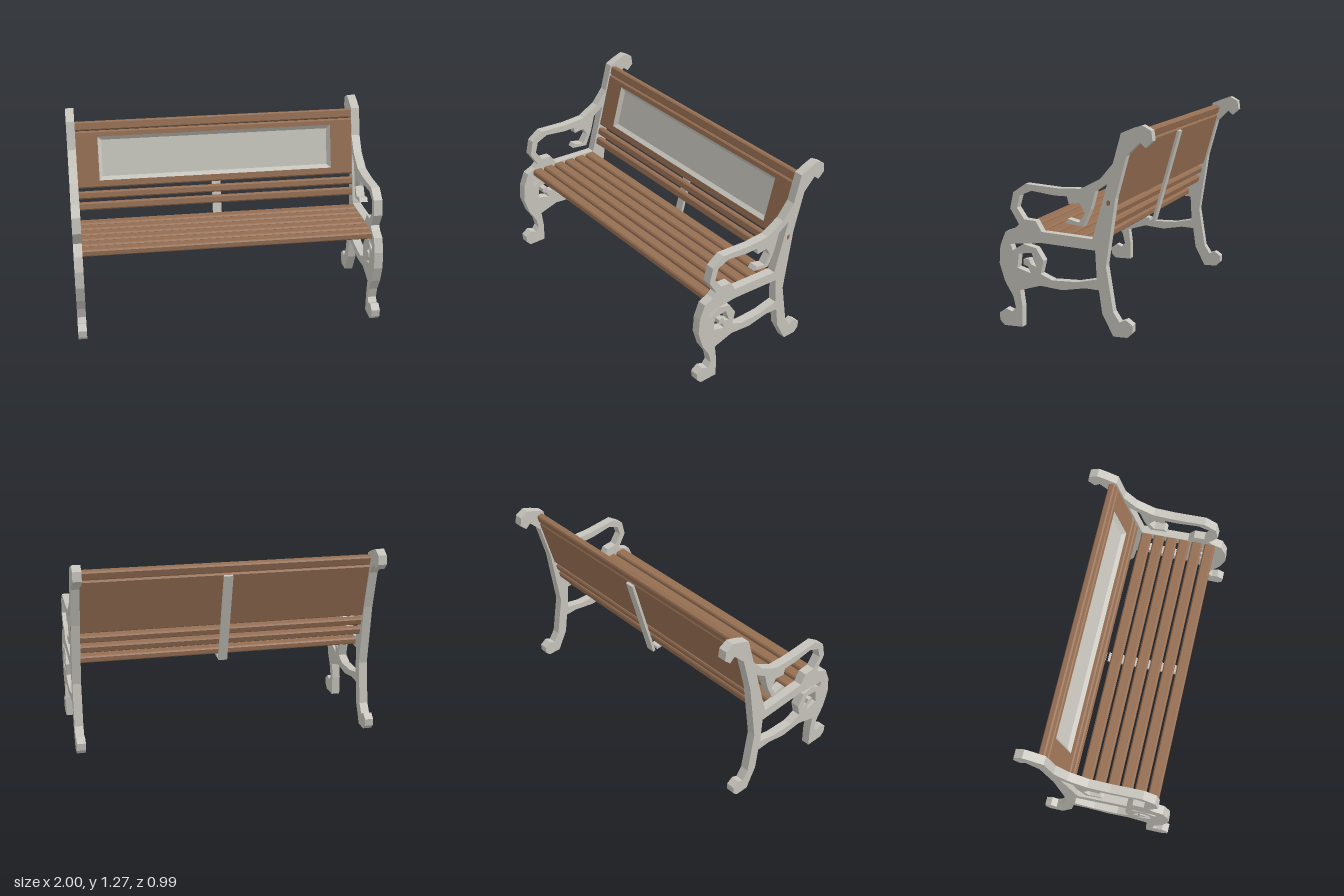
import * as THREE from 'three';

const iron = new THREE.MeshStandardMaterial({ color: 0xc6c4bc });
iron.name = 'cast iron grey';
const wood = new THREE.MeshStandardMaterial({ color: 0x956e52 });
wood.name = 'wood brown';

const HALF = 0.944; // half length of the boards
const BACK = 0.046; // thickness of the backrest boards

// Side profiles are listed as [z, y] pairs and extruded along x.
const outline = [
  [-0.3, 1.22], [-0.37, 1.25], [-0.43, 1.27], [-0.485, 1.24], [-0.493, 1.18], [-0.45, 1.14], [-0.415, 1.17],
  [-0.335, 1.09], [-0.265, 0.835], [-0.205, 0.425], [-0.25, 0.15], [-0.29, 0.09], [-0.33, 0.107],
  [-0.372, 0.077], [-0.37, 0.03], [-0.34, 0], [-0.25, 0], [-0.18, 0.135], [-0.16, 0.275], [-0.07, 0.28],
  [0.075, 0.255], [0.22, 0.27], [0.355, 0.23], [0.342, 0.13], [0.342, 0], [0.463, 0], [0.493, 0.03],
  [0.496, 0.077], [0.453, 0.107], [0.41, 0.09], [0.386, 0.12], [0.402, 0.19], [0.456, 0.28], [0.49, 0.39],
  [0.483, 0.5], [0.446, 0.59], [0.382, 0.615], [0.355, 0.64], [0.412, 0.735], [0.39, 0.835], [0.31, 0.89],
  [0.1, 0.875], [-0.045, 0.88], [-0.17, 0.945], [-0.25, 1.04],
];
const armOpening = [
  [-0.215, 0.92], [-0.12, 0.583], [0.207, 0.603], [0.245, 0.667], [0.32, 0.673], [0.368, 0.742], [0.347, 0.817],
  [0.27, 0.85], [0.12, 0.83], [0.04, 0.83], [0.03, 0.785], [-0.04, 0.795], [-0.075, 0.735], [-0.035, 0.677],
  [0.035, 0.695], [0.055, 0.67], [-0.062, 0.653], [-0.11, 0.76], [-0.14, 0.87],
];
const legOpening = [
  [0.415, 0.515], [0.205, 0.535], [-0.137, 0.515], [-0.147, 0.34], [-0.02, 0.313], [0.14, 0.31],
  [0.217, 0.343], [0.197, 0.425], [0.245, 0.5], [0.33, 0.52], [0.4, 0.475],
];
const scrollOpening = [
  [0.36, 0.46], [0.275, 0.468], [0.245, 0.385], [0.283, 0.4], [0.295, 0.43], [0.33, 0.425],
  [0.33, 0.395], [0.3, 0.383], [0.283, 0.343], [0.37, 0.37],
];
const tenonOutline = [
  [-0.211, 0.815], [-0.221, 0.822], [-0.234, 0.818], [-0.231, 0.795], [-0.217, 0.788], [-0.211, 0.795],
];

const toPoints = (pairs) => pairs.map(([z, y]) => new THREE.Vector2(-z, y));

// Holes run the opposite way round to the outline so their walls face inwards.
function extrudeX(name, pairs, holes, x0, x1, material) {
  const shape = new THREE.Shape(toPoints(pairs));
  holes.forEach((h) => shape.holes.push(new THREE.Path(toPoints(h).reverse())));
  const geo = new THREE.ExtrudeGeometry(shape, { depth: x1 - x0, bevelEnabled: false });
  geo.rotateY(Math.PI / 2).translate(x0, 0, 0);
  const mesh = new THREE.Mesh(geo, material);
  mesh.name = name;
  return mesh;
}

// Long board with chamfered edges; ct and cb are the top and bottom chamfers.
function board(name, y0, y1, z0, z1, ct = 0.009, cb = 0.009) {
  const pts = [[z0 + cb, y0], [z1 - cb, y0]];
  if (cb) pts.push([z1, y0 + cb]);
  pts.push([z1, y1 - ct]);
  if (ct) pts.push([z1 - ct, y1], [z0 + ct, y1]);
  pts.push([z0, y1 - ct]);
  if (cb) pts.push([z0, y0 + cb]);
  return extrudeX(name, pts, [], -HALF, HALF, wood);
}

function box(name, x0, x1, y0, y1, z0, z1, material) {
  const geo = new THREE.BoxGeometry(x1 - x0, y1 - y0, z1 - z0);
  geo.translate((x0 + x1) / 2, (y0 + y1) / 2, (z0 + z1) / 2);
  const mesh = new THREE.Mesh(geo, material);
  mesh.name = name;
  return mesh;
}

// Sunken tray: four sloping sides and a flat floor, open to the front.
function tray(name, w, y0, y1, rim, depth) {
  const ring = (i, z) => [[-w + i, y0 + i, z], [w - i, y0 + i, z], [w - i, y1 - i, z], [-w + i, y1 - i, z]];
  const outer = ring(0, 0), inner = ring(rim, -depth);
  const pos = [];
  const quad = (a, b, c, d) => pos.push(...a, ...b, ...c, ...a, ...c, ...d);
  for (let i = 0; i < 4; i++) {
    const j = (i + 1) % 4;
    quad(outer[i], outer[j], inner[j], inner[i]);
  }
  quad(...inner);
  const geo = new THREE.BufferGeometry();
  geo.setAttribute('position', new THREE.Float32BufferAttribute(pos, 3));
  geo.computeVertexNormals();
  const mesh = new THREE.Mesh(geo, iron);
  mesh.name = name;
  return mesh;
}

export function createModel() {
  const bench = new THREE.Group();
  bench.name = 'parkBench';

  // Cast side frames
  const holes = [armOpening, legOpening, scrollOpening];
  bench.add(extrudeX('leftSideFrame', outline, holes, 0.943, 1, iron));
  bench.add(extrudeX('rightSideFrame', outline, holes, -1, -0.943, iron));

  // Seat, sloping gently down to the rear
  const seat = new THREE.Group();
  seat.name = 'seat';
  seat.position.set(0, 0.609, 0.4);
  seat.rotation.x = -0.058;
  for (let i = 0; i < 6; i++) {
    const front = -i * 0.0905;
    seat.add(board('seatSlat', -0.045, 0, front - 0.075, front));
  }
  seat.add(box('seatStrut', -0.03, 0.03, -0.064, -0.044, -0.55, -0.076, iron));
  bench.add(seat);

  // Backrest, leaning to the rear
  const back = new THREE.Group();
  back.name = 'backrest';
  back.position.set(0, 0.78, -0.189);
  back.rotation.x = -0.273;
  back.add(board('topRail', 0.388, 0.449, -BACK, 0));
  back.add(board('lowerBackSlat', -0.15, -0.098, -BACK, 0));
  back.add(board('upperBackSlat', -0.074, -0.024, -BACK, 0));

  // Panel built around the sunken plate
  const py0 = 0.049, py1 = 0.346, px = 0.796;
  back.add(board('panelTop', py1, 0.384, -BACK, 0, 0.009, 0));
  back.add(board('panelBottom', 0, py0, -BACK, 0, 0, 0.009));
  for (const s of [-1, 1]) {
    back.add(box('panelSide', Math.min(s * px, s * HALF), Math.max(s * px, s * HALF), py0, py1, -BACK, 0, wood));
  }
  back.add(box('panelBacking', -px, px, py0, py1, -BACK, -0.026, wood));
  back.add(tray('sunkenPlate', px, py0, py1, 0.025, 0.022));
  back.add(box('backStrut', -0.03, 0.03, -0.264, 0.375, -BACK - 0.018, -BACK + 0.001, iron));
  bench.add(back);

  // Tenon end lying almost flush with the outer face of the left frame
  bench.add(extrudeX('tenonEnd', tenonOutline, [], 0.995, 1.0004, wood));
  return bench;
}
